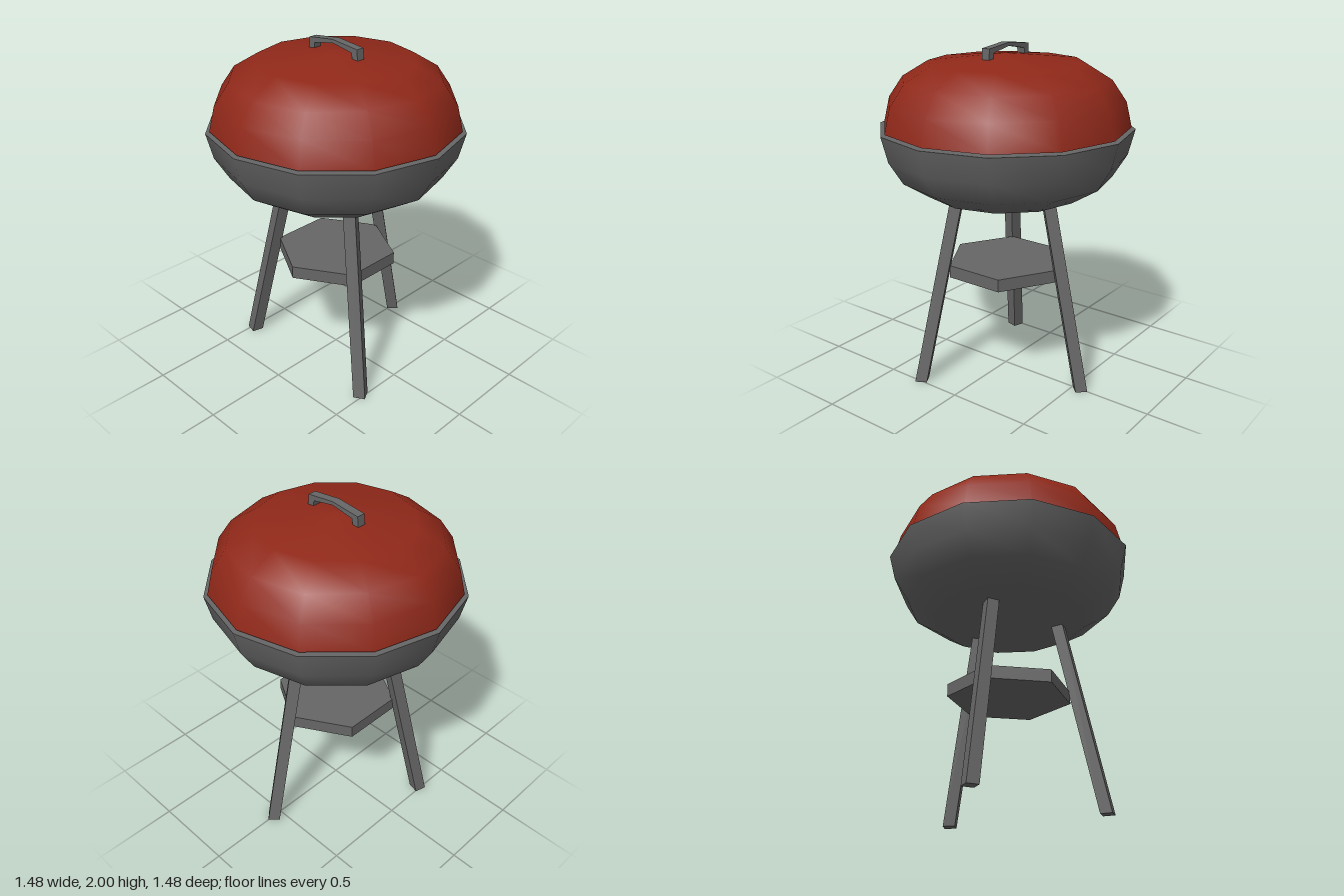
import * as THREE from 'three';

const red = new THREE.MeshStandardMaterial({ color: 0x8f2819 });
const grey = new THREE.MeshStandardMaterial({ color: 0x666666 });
const flatGrey = new THREE.MeshStandardMaterial({ color: 0x666666, flatShading: true });

const SIDES = 12;

function part(name, geometry, material, parent) {
  const mesh = new THREE.Mesh(geometry, material);
  mesh.name = name;
  parent.add(mesh);
  return mesh;
}

// Faceted shell of revolution from [radius, height] pairs, listed bottom to top
function shell(points) {
  return new THREE.LatheGeometry(points.map(([r, y]) => new THREE.Vector2(r, y)), SIDES);
}

// Four-sided leg with level ends, sheared from its foot to its top
function legGeometry(foot, top, height, turn) {
  const geo = new THREE.CylinderGeometry(0.05, 0.05, height, 4);
  geo.rotateY(turn);
  geo.translate(0, height / 2, 0);
  const pos = geo.attributes.position;
  for (let i = 0; i < pos.count; i++) {
    const t = pos.getY(i) / height;
    pos.setX(i, pos.getX(i) + THREE.MathUtils.lerp(foot.x, top.x, t));
    pos.setZ(i, pos.getZ(i) + THREE.MathUtils.lerp(foot.z, top.z, t));
  }
  geo.computeVertexNormals();
  return geo;
}

export function createModel() {
  const grill = new THREE.Group();
  grill.name = 'kettleGrill';

  // Bowl with its flat rim
  const bowl = new THREE.Group();
  bowl.name = 'bowl';
  grill.add(bowl);
  part('bowlShell', shell([[0, 1.10], [0.46, 1.145], [0.62, 1.245], [0.70, 1.375], [0.738, 1.525]]), grey, bowl);
  part('bowlRim', shell([[0.738, 1.525], [0, 1.525]]), flatGrey, bowl);

  // Domed lid with a closed underside
  const lid = new THREE.Group();
  lid.name = 'lid';
  grill.add(lid);
  part('lidShell', shell([[0.715, 1.535], [0.68, 1.68], [0.597, 1.80], [0.445, 1.892], [0, 1.94]]), red, lid);
  part('lidUnderside', shell([[0, 1.535], [0.715, 1.535]]), red, lid);

  // Arched handle
  const outline = [
    [-0.185, 1.915], [-0.145, 1.92], [-0.14, 1.955], [0, 1.98], [0.14, 1.955],
    [0.145, 1.92], [0.185, 1.915], [0.18, 1.98], [0, 2.0], [-0.18, 1.98],
  ].map(([x, y]) => new THREE.Vector2(x, y));
  const handle = new THREE.ExtrudeGeometry(new THREE.Shape(outline), { depth: 0.05, bevelEnabled: false });
  handle.translate(0, 0, -0.025);
  part('handle', handle, flatGrey, grill);

  // Three splayed legs: two in front, one behind
  const legs = [
    ['leftFrontLeg', 30, -15],
    ['rightFrontLeg', 150, 30],
    ['backLeg', 270, 0],
  ];
  for (const [name, angle, turn] of legs) {
    const a = THREE.MathUtils.degToRad(angle);
    const dir = new THREE.Vector3(Math.cos(a), 0, Math.sin(a));
    const geo = legGeometry(
      dir.clone().multiplyScalar(0.553), dir.clone().multiplyScalar(0.3),
      1.14, THREE.MathUtils.degToRad(turn));
    part(name, geo, flatGrey, grill);
  }

  // Hexagonal shelf between the legs
  const shelf = new THREE.CylinderGeometry(0.36, 0.36, 0.075, 6);
  shelf.translate(0, 0.6775, 0);
  part('shelf', shelf, flatGrey, grill);

  return grill;
}
